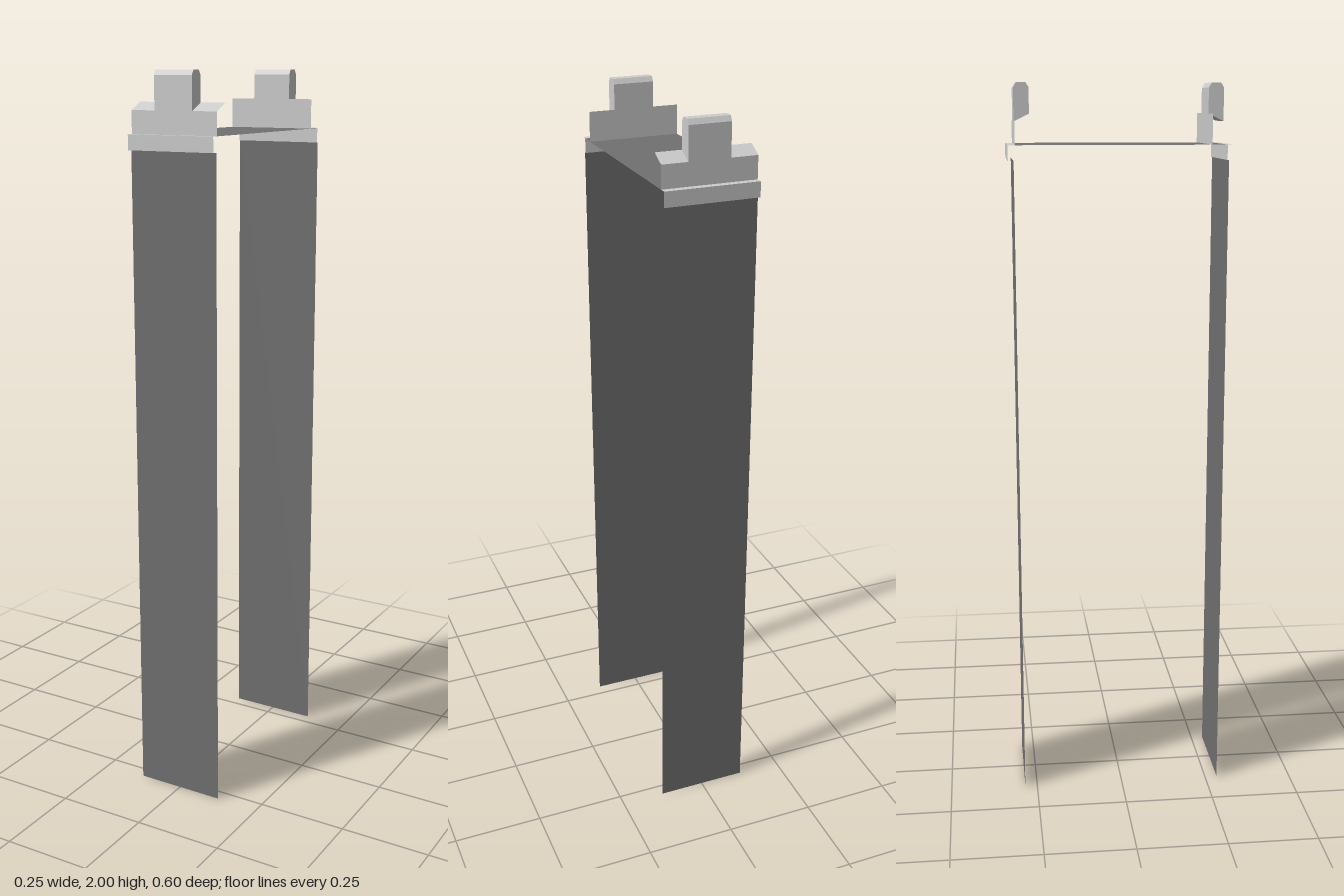
import * as THREE from 'three';

const HALF = 0.127; // half width of the panels and clamps
const OUT = 0.281, IN = 0.24; // outer and inner wall depth

const grey = new THREE.MeshStandardMaterial({ color: 0xcccccc, flatShading: true });
const dark = new THREE.MeshStandardMaterial({ color: 0x707070, side: THREE.DoubleSide });

function mesh(name, geometry, material) {
  const m = new THREE.Mesh(geometry, material);
  m.name = name;
  return m;
}

// Sweeps a [z, y] profile along x, leaving both ends open
function openStrip(profile) {
  const pos = [];
  for (let i = 0; i < profile.length - 1; i++) {
    const [z0, y0] = profile[i], [z1, y1] = profile[i + 1];
    const a = [-HALF, y0, z0], b = [-HALF, y1, z1], c = [HALF, y1, z1], d = [HALF, y0, z0];
    pos.push(...a, ...b, ...c, ...a, ...c, ...d);
  }
  const g = new THREE.BufferGeometry();
  g.setAttribute('position', new THREE.Float32BufferAttribute(pos, 3));
  g.computeVertexNormals();
  return g;
}

// One end: clamp with sloped shoulders and lower rim, upright tab, hanging panel
function createEnd(name) {
  const end = new THREE.Group();
  end.name = name;

  end.add(mesh('clamp', openStrip([
    [IN, 1.84], [IN, 1.92], [OUT, 1.9], [OUT, 1.84],
    [0.3, 1.84], [0.3, 1.8], [OUT, 1.8], [OUT, 1.84],
  ]), grey));

  // Tab with chamfered top edges, its foot following the shoulder slope
  const shape = new THREE.Shape([
    [IN, 1.92], [OUT, 1.9], [OUT, 1.987], [OUT - 0.008, 2], [IN + 0.008, 2], [IN, 1.987],
  ].map(([z, y]) => new THREE.Vector2(z, y)));
  const tab = new THREE.ExtrudeGeometry(shape, { depth: 0.112, bevelEnabled: false });
  tab.rotateY(-Math.PI / 2).translate(0.055, 0, 0);
  end.add(mesh('tab', tab, grey));

  const panel = new THREE.PlaneGeometry(2 * HALF, 1.8).translate(0, 0.9, 0.285);
  end.add(mesh('hangingPanel', panel, dark));
  return end;
}

export function createModel() {
  const model = new THREE.Group();
  model.name = 'hangingPanels';
  const back = createEnd('backEnd');
  back.rotation.y = Math.PI;
  model.add(createEnd('frontEnd'), back);

  // Thin deck joining the two ends
  const deck = new THREE.PlaneGeometry(2 * HALF, 2 * OUT).rotateX(-Math.PI / 2).translate(0, 1.84, 0);
  model.add(mesh('deck', deck, dark));
  return model;
}
